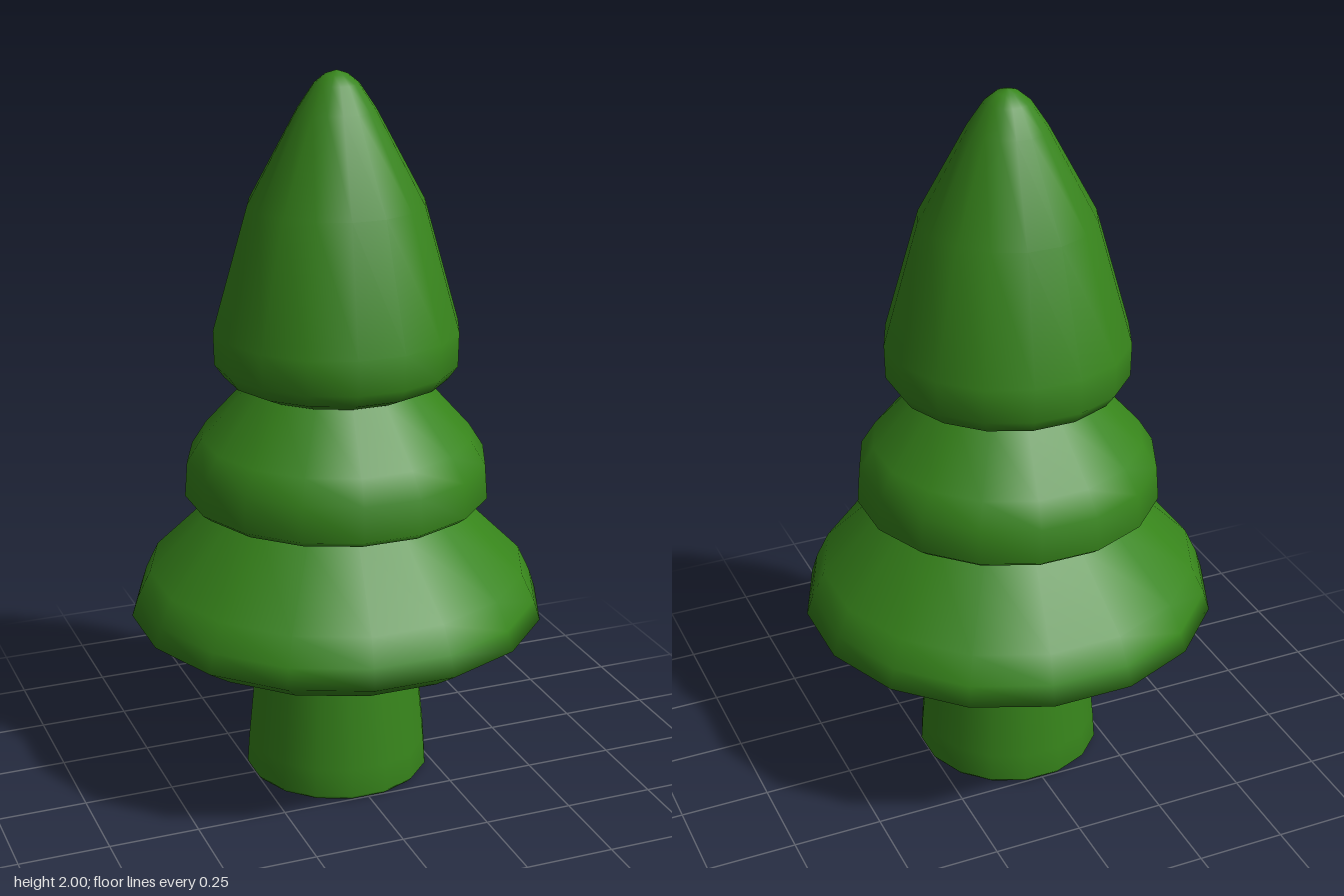
import * as THREE from 'three';

const SIDES = 16;
// Profiles give the half-width across flats; scale to the corner radius.
const CORNER = 1 / Math.cos(Math.PI / SIDES);

// Each part is a 16-sided turned profile of [halfWidth, height], from bottom to top.
const PARTS = {
  trunk: [[0, 0], [0.245, 0], [0.255, 0.012], [0.25, 0.09], [0.222, 0.385], [0.22, 0.4]],
  lowerFoliage: [[0.2, 0.382], [0.225, 0.387], [0.485, 0.44], [0.567, 0.495], [0.55, 0.55],
    [0.515, 0.625], [0.335, 0.805], [0.325, 0.815]],
  middleFoliage: [[0.31, 0.803], [0.34, 0.808], [0.39, 0.824], [0.414, 0.843], [0.407, 0.94],
    [0.367, 1.005], [0.24, 1.15], [0.23, 1.16]],
  upperFoliage: [[0.22, 1.148], [0.25, 1.153], [0.302, 1.178], [0.328, 1.215], [0.33, 1.31],
    [0.235, 1.65], [0.105, 1.896], [0.06, 1.965], [0.03, 1.99], [0, 2]],
};

export function createModel() {
  const tree = new THREE.Group();
  tree.name = 'tree';
  const green = new THREE.MeshStandardMaterial({ color: 0x37851b, side: THREE.DoubleSide });
  for (const [name, profile] of Object.entries(PARTS)) {
    const points = profile.map(([r, y]) => new THREE.Vector2(r * CORNER, y));
    // Half-step turn puts a flat side at the front.
    const geometry = new THREE.LatheGeometry(points, SIDES, Math.PI / SIDES);
    const mesh = new THREE.Mesh(geometry, green);
    mesh.name = name;
    tree.add(mesh);
  }
  return tree;
}
